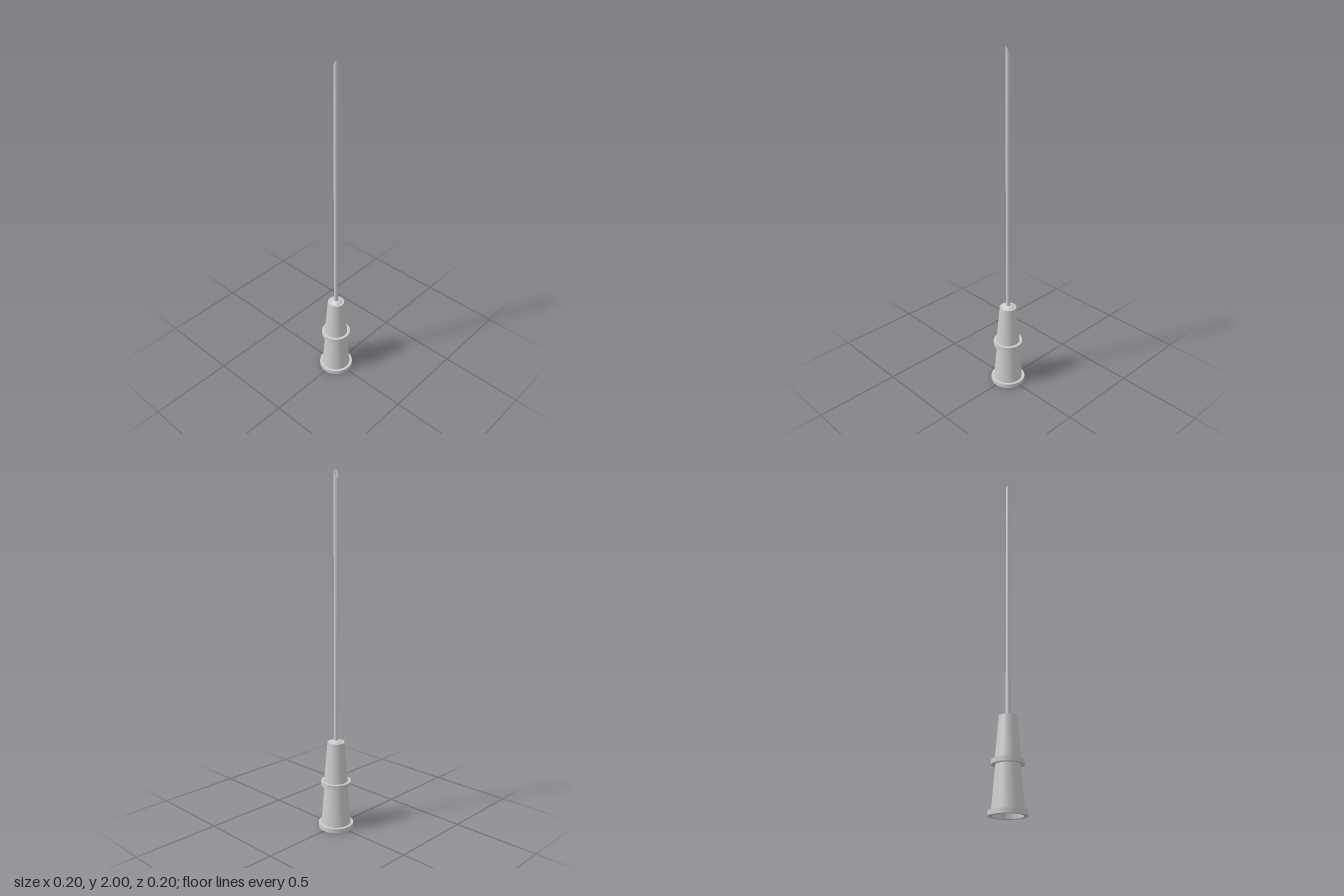
import * as THREE from 'three';
import { toCreasedNormals } from 'three/addons/utils/BufferGeometryUtils.js';

const SEGMENTS = 48;

// Creases are found at an enlarged scale, because vertices are matched to 0.01 units
function crease(geometry) {
  geometry.scale(1000, 1000, 1000);
  return toCreasedNormals(geometry, 0.6).scale(0.001, 0.001, 0.001);
}

function lathe(profile) {
  return new THREE.LatheGeometry(profile.map(([r, y]) => new THREE.Vector2(r, y)), SEGMENTS);
}

export function createModel() {
  const model = new THREE.Group();
  model.name = 'needle';
  const material = new THREE.MeshStandardMaterial({ color: 0xcccccc });

  function add(name, geometry) {
    const mesh = new THREE.Mesh(crease(geometry), material);
    mesh.name = name;
    model.add(mesh);
  }

  // Hollow tapered hub with a foot flange and a middle collar, open at the bottom
  add('hub', lathe([
    [0, 0.49], [0.04, 0.49], [0.08, 0],
    [0.1, 0], [0.1, 0.025], [0.084, 0.025],
    [0.065, 0.255], [0.085, 0.255], [0.085, 0.28], [0.068, 0.28],
    [0.048, 0.51], [0, 0.51],
  ]));

  // Low cone of adhesive where the tube enters the hub
  add('adhesiveCone', lathe([[0.036, 0.508], [0.034, 0.512], [0.012, 0.523], [0, 0.523]]));

  // Hollow tube whose top is cut to a slanted tip
  const outer = 0.012, bore = 0.006, top = 1.975, bottom = 0.5;
  const tube = lathe([[bore, top], [bore, bottom], [outer, bottom], [outer, top], [bore, top]]);
  const angle = THREE.MathUtils.degToRad(25);
  const slope = 0.025 / outer;
  const p = tube.attributes.position;
  for (let i = 0; i < p.count; i++) {
    if (p.getY(i) > 1) {
      const along = p.getX(i) * Math.cos(angle) + p.getZ(i) * Math.sin(angle);
      p.setY(i, top + slope * along);
    }
  }
  add('needleTube', tube);

  return model;
}
